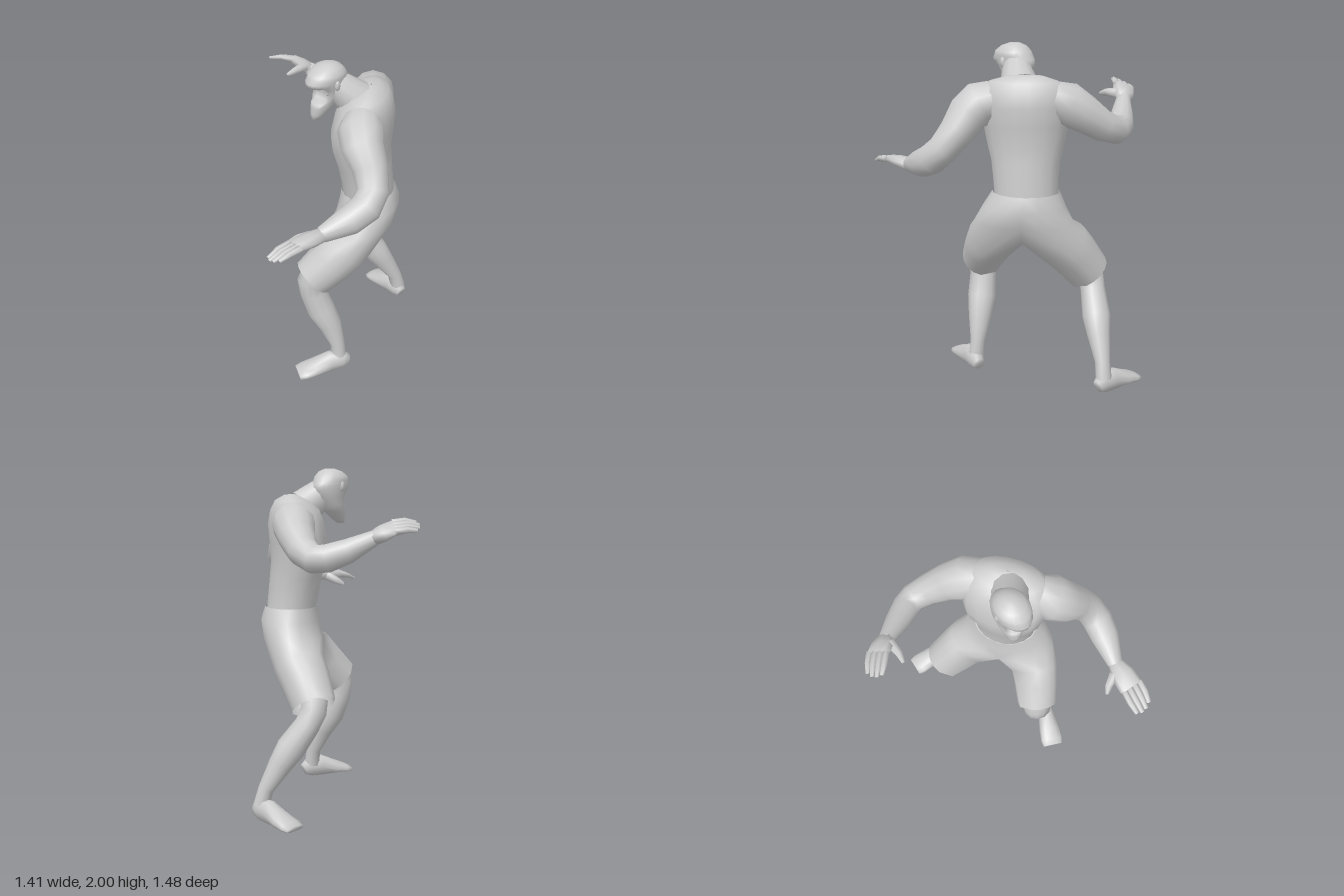
import * as THREE from 'three';
import { mergeVertices } from 'three/addons/utils/BufferGeometryUtils.js';

const V = (a) => new THREE.Vector3(...a);
const grey = new THREE.MeshStandardMaterial({ color: 0xcccccc, side: THREE.DoubleSide });
// the body's own left and front directions
const bodyLeft = [0.64, 0, 0.77], bodyFront = [-0.77, 0, 0.64];

function skin(name, pos, idx) {
  let g = new THREE.BufferGeometry();
  g.setAttribute('position', new THREE.Float32BufferAttribute(pos, 3));
  g.setIndex(idx);
  g = mergeVertices(g, 1e-4);
  g.computeVertexNormals();
  const mesh = new THREE.Mesh(g, grey);
  mesh.name = name;
  return mesh;
}

// Skin closed rings along a path. Section: [x, y, z, halfSide, halfDepth, frontDent].
// "side" is the ring's first axis; "up" fixes the ring normal (otherwise the path tangent).
function loft(name, sections, { side = [1, 0, 0], up = null, n = 12, open = false } = {}) {
  const pos = [], idx = [], last = sections.length - 1;
  const put = (p) => pos.push(p.x, Math.max(0, p.y), p.z);
  sections.forEach(([x, y, z, a, b = a, dent = 0], i) => {
    const t = up ? V(up) : V(sections[Math.min(last, i + 1)]).sub(V(sections[Math.max(0, i - 1)])).normalize();
    const u = V(side).addScaledVector(t, -V(side).dot(t)).normalize();
    const v = t.clone().cross(u);
    for (let j = 0; j < n; j++) {
      const ang = (j / n) * Math.PI * 2, s = Math.sin(ang);
      const d = dent * Math.sqrt(Math.max(0, (s - 0.72) / 0.28));
      put(new THREE.Vector3(x, y, z).addScaledVector(u, a * Math.cos(ang)).addScaledVector(v, b * s - d));
      if (i < last) {
        const k = i * n + j, m = i * n + (j + 1) % n;
        idx.push(k, m, m + n, k, m + n, k + n);
      }
    }
  });
  if (!open) {
    const c = pos.length / 3;
    put(V(sections[0])); put(V(sections[last]));
    for (let j = 0; j < n; j++) {
      const k = (j + 1) % n;
      idx.push(c, k, j, c + 1, last * n + j, last * n + k);
    }
  }
  return skin(name, pos, idx);
}

// Shorts: half rings around the pelvis split at a crotch seam into full rings down each leg.
function shorts() {
  const N = 8, M = 4, W = N + M, pos = [], idx = [];
  const pelvis = [[0.22, 1.185, -0.2, 0.195, 0.16], [0.235, 1.1, -0.2, 0.24, 0.178], [0.225, 1.0, -0.185, 0.29, 0.182]];
  const legs = {
    1: [[0.28, 0.86, 0.025, 0.152], [0.25, 0.78, 0.1, 0.142], [0.2, 0.67, 0.2, 0.128]],
    '-1': [[0.035, 0.85, -0.325, 0.155], [-0.03, 0.775, -0.345, 0.147], [-0.125, 0.645, -0.38, 0.132]],
  };
  for (const s of [1, -1]) {
    const rings = [...pelvis, ...legs[s]], start = pos.length / 3;
    rings.forEach(([x, y, z, a, b = a], i) => {
      const onLeg = i >= pelvis.length, u = V(bodyLeft).multiplyScalar(s), v = V(bodyFront);
      if (onLeg) {
        const t = V(rings[Math.min(i + 1, 5)]).sub(V(rings[Math.max(i - 1, 3)])).normalize();
        u.addScaledVector(t, -u.dot(t)).normalize();
        v.addScaledVector(t, -v.dot(t)).addScaledVector(u, -v.dot(u)).normalize();
      }
      for (let k = 0; k < W; k++) {
        const ang = Math.PI / 2 - (k <= N ? Math.PI * k / N : Math.PI * (1 + (k - N) / M));
        const c = Math.cos(ang), seam = !onLeg && k >= N;
        const p = new THREE.Vector3(x, y, z).addScaledVector(v, b * Math.sin(ang));
        if (seam) p.y += 0.14 * c;
        else p.addScaledVector(u, a * c);
        pos.push(p.x, p.y, p.z);
        if (i === rings.length - 1 || (i < pelvis.length - 1 && k >= N)) continue;
        const q = start + i * W + k, r = start + i * W + (k + 1) % W;
        if (s > 0) idx.push(q, q + W, r, r, q + W, r + W);
        else idx.push(q, r, q + W, r, r + W, q + W);
      }
    });
  }
  return skin('shorts', pos, idx);
}

// Flat palm, four closed fingers and a thumb; "thumbSide" points from palm to thumb.
function hand(name, wrist, knuckle, tip, thumbSide, thumbTip) {
  const group = new THREE.Group();
  group.name = name;
  const w = V(wrist), k = V(knuckle), t = V(tip), s = V(thumbSide).normalize();
  const mid = w.clone().lerp(k, 0.5);
  const opt = { side: thumbSide, n: 8 };
  group.add(loft('palm', [[...w, 0.045, 0.04], [...mid, 0.07, 0.038], [...k, 0.072, 0.026]], opt));
  for (let i = 0; i < 4; i++) {
    const off = 0.052 - i * 0.035;
    const reach = [0.92, 1, 0.97, 0.84][i];
    const at = (f, spread) => k.clone().lerp(t, f * reach).addScaledVector(s, off * spread);
    const bend = at(0.5, 1);
    bend.y += 0.008;
    group.add(loft('finger', [[...at(-0.05, 1), 0.019, 0.02], [...bend, 0.019, 0.017], [...at(1, 0.85), 0.014, 0.009]], { side: thumbSide, n: 6 }));
  }
  const base = w.clone().lerp(k, 0.3).addScaledVector(s, 0.04);
  const tt = V(thumbTip), joint = base.clone().lerp(tt, 0.55).addScaledVector(s, 0.012);
  group.add(loft('thumb', [[...base, 0.032], [...joint, 0.023], [...tt, 0.011]], { side: [0, 1, 0.2], n: 6 }));
  return group;
}

function foot(name, heel, toe, side) {
  const h = V(heel), t = V(toe);
  const at = (f, y, a, b) => { const p = h.clone().lerp(t, f); return [p.x, y, p.z, a, b]; };
  return loft(name, [at(0, 0.045, 0.035, 0.04), at(0.12, 0.06, 0.05, 0.065), at(0.35, 0.06, 0.055, 0.07),
    at(0.65, 0.035, 0.07, 0.048), at(0.88, 0.02, 0.075, 0.03), at(1, 0.013, 0.066, 0.018)], { side, n: 12 });
}

function head() {
  const group = new THREE.Group();
  group.name = 'head';
  // dropped jaw, hollow mouth and skull in one skin
  group.add(loft('skullAndJaw', [
    [0.082, 1.672, 0.09, 0.022, 0.02], [0.083, 1.70, 0.07, 0.042, 0.045], [0.087, 1.745, 0.04, 0.06, 0.075],
    [0.088, 1.77, 0.025, 0.068, 0.085], [0.09, 1.785, 0.02, 0.072, 0.085, 0.06], [0.095, 1.83, 0.0, 0.084, 0.105, 0.07],
    [0.097, 1.872, 0.01, 0.09, 0.125, 0.07], [0.097, 1.888, 0.018, 0.092, 0.138], [0.098, 1.91, 0.022, 0.094, 0.136],
    [0.1, 1.932, 0.022, 0.095, 0.12], [0.1, 1.952, 0.024, 0.092, 0.112],
    [0.1, 1.98, 0.018, 0.07, 0.078], [0.1, 1.997, 0.012, 0.03, 0.036],
  ], { side: [-1, 0, 0.08], up: [0, 1, 0], n: 20 }));
  for (const s of [-1, 1]) {
    const ear = new THREE.Mesh(new THREE.SphereGeometry(1, 8, 6), grey);
    ear.name = 'ear';
    ear.scale.set(0.012, 0.03, 0.018);
    ear.position.set(0.1 + s * 0.092, 1.895, 0.02);
    group.add(ear);
  }
  return group;
}

export function createModel() {
  const model = new THREE.Group();
  model.name = 'crouchingMan';

  model.add(loft('torso', [
    [0.22, 1.17, -0.2, 0.185, 0.15], [0.215, 1.25, -0.19, 0.188, 0.153], [0.2, 1.36, -0.175, 0.2, 0.163, 0.01],
    [0.185, 1.46, -0.16, 0.225, 0.175, 0.015], [0.18, 1.57, -0.155, 0.245, 0.19, 0.03], [0.195, 1.68, -0.165, 0.26, 0.18, 0.025],
    [0.21, 1.76, -0.175, 0.25, 0.147], [0.22, 1.815, -0.185, 0.195, 0.105], [0.22, 1.845, -0.195, 0.1, 0.045], [0.22, 1.85, -0.195, 0.01, 0.005],
  ], { side: bodyLeft.map((c) => -c), up: [0, 1, 0], n: 18, open: true }));
  model.add(loft('neck', [[0.185, 1.77, -0.12, 0.11], [0.155, 1.82, -0.065, 0.097], [0.12, 1.87, -0.02, 0.082]], { open: true }));
  model.add(head());

  // arms
  model.add(loft('leftArm', [
    [0.32, 1.715, -0.05, 0.105], [0.38, 1.685, 0.005, 0.13], [0.44, 1.63, 0.04, 0.12], [0.52, 1.54, 0.05, 0.1],
    [0.59, 1.445, 0.085, 0.09], [0.615, 1.38, 0.155, 0.09], [0.605, 1.335, 0.26, 0.083], [0.57, 1.29, 0.42, 0.045],
  ], { side: [0.5, 0.8, 0.3], open: true }));
  model.add(loft('rightArm', [
    [0.12, 1.715, -0.3, 0.105], [0.05, 1.685, -0.355, 0.125], [-0.03, 1.625, -0.415, 0.108], [-0.13, 1.55, -0.468, 0.09],
    [-0.23, 1.512, -0.488, 0.08], [-0.3, 1.52, -0.455, 0.078], [-0.39, 1.56, -0.39, 0.068], [-0.51, 1.635, -0.3, 0.042],
  ], { side: [0, 1, 0], open: true }));
  model.add(hand('leftHand', [0.57, 1.29, 0.41], [0.565, 1.29, 0.59], [0.555, 1.25, 0.735], [-1, -0.25, 0], [0.44, 1.225, 0.53]));
  model.add(hand('rightHand', [-0.5, 1.63, -0.31], [-0.59, 1.69, -0.235], [-0.675, 1.695, -0.125], [0.7, 0.42, 0.62], [-0.495, 1.645, -0.13]));

  model.add(shorts());

  // lower legs
  model.add(loft('leftLeg', [
    [0.21, 0.7, 0.18, 0.088], [0.195, 0.64, 0.205, 0.088], [0.2, 0.56, 0.2, 0.082], [0.24, 0.43, 0.17, 0.088],
    [0.29, 0.32, 0.135, 0.072], [0.335, 0.18, 0.11, 0.046], [0.35, 0.08, 0.11, 0.048],
  ], { open: true }));
  model.add(loft('rightLeg', [
    [-0.12, 0.68, -0.37, 0.08], [-0.135, 0.62, -0.395, 0.078], [-0.115, 0.54, -0.43, 0.075], [-0.06, 0.41, -0.51, 0.085],
    [-0.025, 0.32, -0.56, 0.07], [0.02, 0.18, -0.635, 0.046], [0.035, 0.08, -0.66, 0.048],
  ], { side: [0, 0, 1], open: true }));
  model.add(foot('leftFoot', [0.375, 0, 0.06], [0.26, 0, 0.365], [0.93, 0, 0.36]));
  model.add(foot('rightFoot', [0.08, 0, -0.655], [-0.24, 0, -0.665], [0.03, 0, 1]));

  return model;
}
